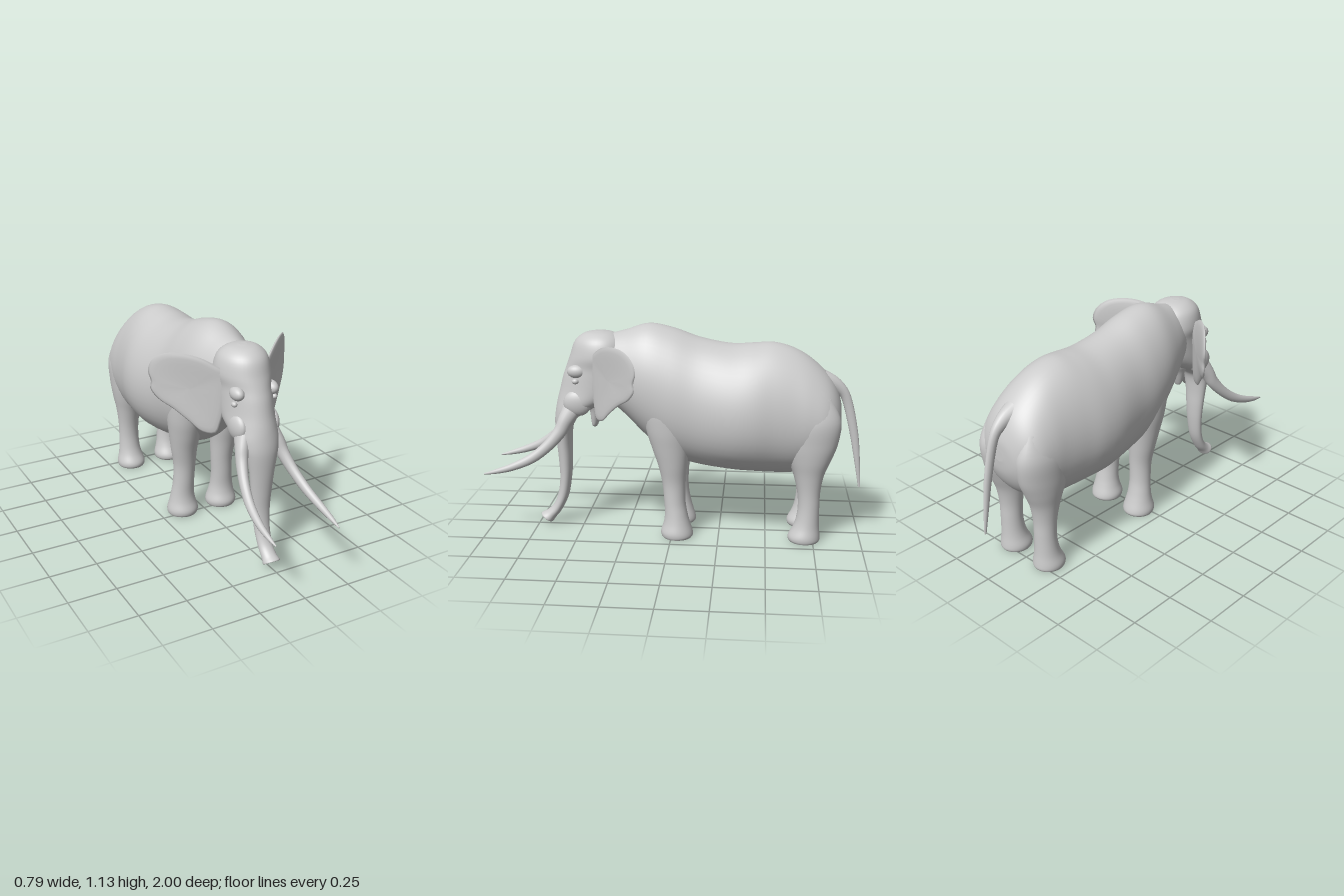
import * as THREE from 'three';

const material = new THREE.MeshStandardMaterial({ color: 0xcccccc });

// Catmull-Rom interpolation of every column of a table of rows
function resample(rows, n) {
  const out = [];
  for (let i = 0; i < rows.length - 1; i++) {
    const p = [rows[Math.max(i - 1, 0)], rows[i], rows[i + 1], rows[Math.min(i + 2, rows.length - 1)]];
    for (let j = 0; j < n; j++) {
      const t = j / n;
      out.push(rows[i].map((_, c) => {
        const [a, b, d, e] = p.map((r) => r[c]);
        return 0.5 * (2 * b + (d - a) * t + (2 * a - 5 * b + 4 * d - e) * t * t + (3 * b - a - 3 * d + e) * t ** 3);
      }));
    }
  }
  out.push(rows[rows.length - 1]);
  return out;
}

// Skin closed loops of points, cap both ends, and turn all faces outward
function skin(loops, name) {
  const m = loops[0].length, pos = [], index = [];
  loops.forEach((loop) => loop.forEach((p) => pos.push(...p)));
  for (let i = 0; i < loops.length - 1; i++) {
    for (let j = 0; j < m; j++) {
      const a = i * m + j, b = i * m + (j + 1) % m;
      index.push(a, b, a + m, b, b + m, a + m);
    }
  }
  [loops[0], loops[loops.length - 1]].forEach((loop, end) => {
    const base = pos.length / 3;
    loop.forEach((p) => pos.push(...p));
    pos.push(...[0, 1, 2].map((c) => loop.reduce((s, p) => s + p[c], 0) / m));
    for (let j = 0; j < m; j++) {
      const a = base + j, b = base + (j + 1) % m;
      index.push(base + m, ...(end ? [a, b] : [b, a]));
    }
  });
  const v = (i) => new THREE.Vector3().fromArray(pos, i * 3);
  let volume = 0;
  for (let i = 0; i < index.length; i += 3) volume += v(index[i]).dot(v(index[i + 1]).cross(v(index[i + 2])));
  if (volume < 0) index.reverse();
  const geometry = new THREE.BufferGeometry();
  geometry.setAttribute('position', new THREE.Float32BufferAttribute(pos, 3));
  geometry.setIndex(index);
  geometry.computeVertexNormals();
  const mesh = new THREE.Mesh(geometry, material);
  mesh.name = name;
  return mesh;
}

// Rows are [y, z] of one edge, [y, z] of the opposite edge, half width, optional centre x.
// egg makes each section wider toward the second edge.
function loft(name, rows, { side = 1, egg = 0, sides = 36, steps = 5 } = {}) {
  const full = rows.map(([ya, za, yb, zb, w, cx = 0]) => [ya, za, yb, zb, w, cx]);
  const loops = resample(full, steps).map(([ya, za, yb, zb, w, cx]) =>
    Array.from({ length: sides }, (_, j) => {
      const t = (j / sides) * Math.PI * 2, c = Math.cos(t);
      return [
        side * cx + w * Math.sin(t) * (1 - egg * c),
        (ya + yb) / 2 + ((ya - yb) / 2) * c,
        (za + zb) / 2 + ((za - zb) / 2) * c,
      ];
    }));
  return skin(loops, name);
}

// Horizontal sections: y, front z, back z, half width, optional centre x
const column = (rows) => rows.map(([y, f, b, w, cx]) => [y, f, y, b, w, cx]);

// Thin ear: scaled copies of the outline, bent backward along its width
function ear(side) {
  const outline = [
    [0.10, 0.96], [0.15, 1.0], [0.21, 1.035], [0.28, 1.05], [0.34, 1.04], [0.38, 1.0], [0.395, 0.94],
    [0.385, 0.89], [0.388, 0.85], [0.36, 0.80], [0.31, 0.76], [0.25, 0.70], [0.2, 0.65], [0.15, 0.645],
    [0.13, 0.70], [0.11, 0.82],
  ].map(([x, y]) => new THREE.Vector3(x, y, 0));
  const edge = new THREE.CatmullRomCurve3(outline, true).getSpacedPoints(64).slice(0, 64);
  const scales = [0.02, 0.25, 0.5, 0.7, 0.85, 0.95, 1];
  const loop = (s, face) => edge.map((p) => {
    const x = 0.24 + (p.x - 0.24) * s, y = 0.87 + (p.y - 0.87) * s, d = x - 0.1;
    const thick = face * 0.012 * Math.sqrt(1 - s ** 4);
    const z = 0.415 - 0.6 * d - 1.07 * d * d + 0.018 * (s * s - 0.6);
    return [side * (x + thick * 0.6), y, z + thick];
  });
  return skin([
    ...scales.map((s) => loop(s, 1)),
    ...scales.slice(0, -1).reverse().map((s) => loop(s, -1)),
  ], side > 0 ? 'leftEar' : 'rightEar');
}

export function createModel() {
  const model = new THREE.Group();
  model.name = 'elephant';

  // Torso: upper edge, lower edge, half width
  model.add(loft('body', [
    [1.04, 0.42, 0.80, 0.40, 0.09],
    [1.07, 0.34, 0.72, 0.34, 0.125],
    [1.095, 0.25, 0.64, 0.25, 0.165],
    [1.13, 0.13, 0.53, 0.14, 0.205],
    [1.108, 0, 0.43, 0.02, 0.228],
    [1.06, -0.14, 0.385, -0.12, 0.24],
    [1.03, -0.3, 0.36, -0.3, 0.268],
    [1.035, -0.42, 0.352, -0.42, 0.268],
    [1.04, -0.52, 0.347, -0.54, 0.248],
    [1.015, -0.62, 0.35, -0.64, 0.232],
    [0.965, -0.71, 0.38, -0.72, 0.222],
    [0.89, -0.795, 0.42, -0.79, 0.205],
    [0.82, -0.845, 0.48, -0.84, 0.165],
    [0.74, -0.875, 0.55, -0.87, 0.1],
    [0.68, -0.88, 0.62, -0.88, 0.03],
  ], { egg: 0.1, sides: 48 }));

  // Head running down into the trunk, with a hollow tip
  model.add(loft('headAndTrunk', [
    ...column([
      [1.087, 0.41, 0.37, 0.02], [1.075, 0.47, 0.31, 0.075], [1.035, 0.52, 0.26, 0.12],
      [0.96, 0.548, 0.23, 0.138], [0.9, 0.57, 0.22, 0.13], [0.85, 0.588, 0.23, 0.128],
      [0.78, 0.606, 0.26, 0.127], [0.72, 0.622, 0.33, 0.125], [0.67, 0.632, 0.43, 0.115],
      [0.62, 0.639, 0.51, 0.096], [0.57, 0.64, 0.543, 0.081], [0.48, 0.635, 0.552, 0.066],
      [0.38, 0.628, 0.553, 0.056], [0.28, 0.624, 0.56, 0.048],
    ]),
    [0.19, 0.635, 0.17, 0.58, 0.042],
    [0.12, 0.662, 0.085, 0.62, 0.039],
    [0.08, 0.7, 0.04, 0.655, 0.04],
    [0.062, 0.735, 0.015, 0.672, 0.045],
    [0.055, 0.728, 0.022, 0.676, 0.035],
    [0.065, 0.7, 0.045, 0.675, 0.02],
  ], { egg: 0.08, sides: 40 }));

  // Hanging lower jaw
  model.add(loft('lowerJaw', column([
    [0.78, 0.50, 0.34, 0.08], [0.71, 0.475, 0.345, 0.07], [0.66, 0.452, 0.375, 0.052],
    [0.61, 0.445, 0.395, 0.036], [0.575, 0.44, 0.41, 0.022], [0.565, 0.432, 0.42, 0.006],
  ])));

  // Tail
  model.add(loft('tail', [
    [0.9, -0.79, 0.8, -0.79, 0.05],
    [0.85, -0.868, 0.775, -0.85, 0.032],
    [0.76, -0.928, 0.73, -0.885, 0.021],
    [0.57, -0.973, 0.56, -0.93, 0.016],
    [0.4, -0.992, 0.4, -0.963, 0.012],
    [0.265, -1.0, 0.265, -0.988, 0.004],
  ], { sides: 16 }));

  for (const side of [1, -1]) {
    const prefix = side > 0 ? 'left' : 'right';

    model.add(loft(prefix + 'FrontLeg', column([
      [0.82, 0.13, -0.05, 0.05, 0.13], [0.72, 0.155, -0.09, 0.085, 0.128], [0.6, 0.135, -0.1, 0.09, 0.125],
      [0.5, 0.105, -0.092, 0.082, 0.122], [0.4, 0.072, -0.082, 0.07, 0.12], [0.3, 0.05, -0.074, 0.06, 0.115],
      [0.2, 0.04, -0.074, 0.058, 0.118], [0.13, 0.036, -0.085, 0.063, 0.121], [0.08, 0.042, -0.098, 0.072, 0.121],
      [0.035, 0.056, -0.112, 0.084, 0.12], [0.012, 0.055, -0.115, 0.084, 0.12], [0, 0.048, -0.108, 0.079, 0.12],
    ]), { side }));

    model.add(loft(prefix + 'HindLeg', column([
      [0.78, -0.62, -0.82, 0.05, 0.13], [0.66, -0.56, -0.872, 0.09, 0.13], [0.54, -0.57, -0.862, 0.094, 0.125],
      [0.45, -0.605, -0.83, 0.084, 0.126], [0.37, -0.637, -0.798, 0.07, 0.126], [0.28, -0.66, -0.782, 0.06, 0.126],
      [0.2, -0.667, -0.78, 0.058, 0.126], [0.13, -0.66, -0.78, 0.061, 0.126], [0.08, -0.645, -0.782, 0.068, 0.125],
      [0.035, -0.622, -0.787, 0.08, 0.124], [0.012, -0.62, -0.788, 0.08, 0.124], [0, -0.628, -0.782, 0.075, 0.124],
    ]), { side }));

    // Tusk, sweeping forward and outward
    model.add(loft(prefix + 'Tusk', [
      [0.72, 0.57, 0.69, 0.46, 0.035, 0.075],
      [0.65, 0.598, 0.605, 0.528, 0.036, 0.098],
      [0.585, 0.622, 0.54, 0.568, 0.03, 0.117],
      [0.51, 0.678, 0.465, 0.64, 0.025, 0.14],
      [0.443, 0.76, 0.4, 0.73, 0.022, 0.16],
      [0.395, 0.855, 0.358, 0.84, 0.018, 0.173],
      [0.362, 0.94, 0.338, 0.935, 0.012, 0.176],
      [0.338, 1.0, 0.332, 1.0, 0.003, 0.174],
    ], { side, sides: 20 }));

    model.add(ear(side));

    // Brow ridge, eye and cheek swellings
    for (const [name, x, y, z, rx, ry, rz] of [
      ['Brow', 0.095, 0.885, 0.5, 0.032, 0.035, 0.05],
      ['Eye', 0.112, 0.835, 0.505, 0.014, 0.014, 0.018],
      ['Cheek', 0.092, 0.715, 0.5, 0.036, 0.07, 0.075],
    ]) {
      const bump = new THREE.Mesh(new THREE.SphereGeometry(1, 24, 16), material);
      bump.name = prefix + name;
      bump.position.set(side * x, y, z);
      bump.scale.set(rx, ry, rz);
      model.add(bump);
    }
  }
  return model;
}
